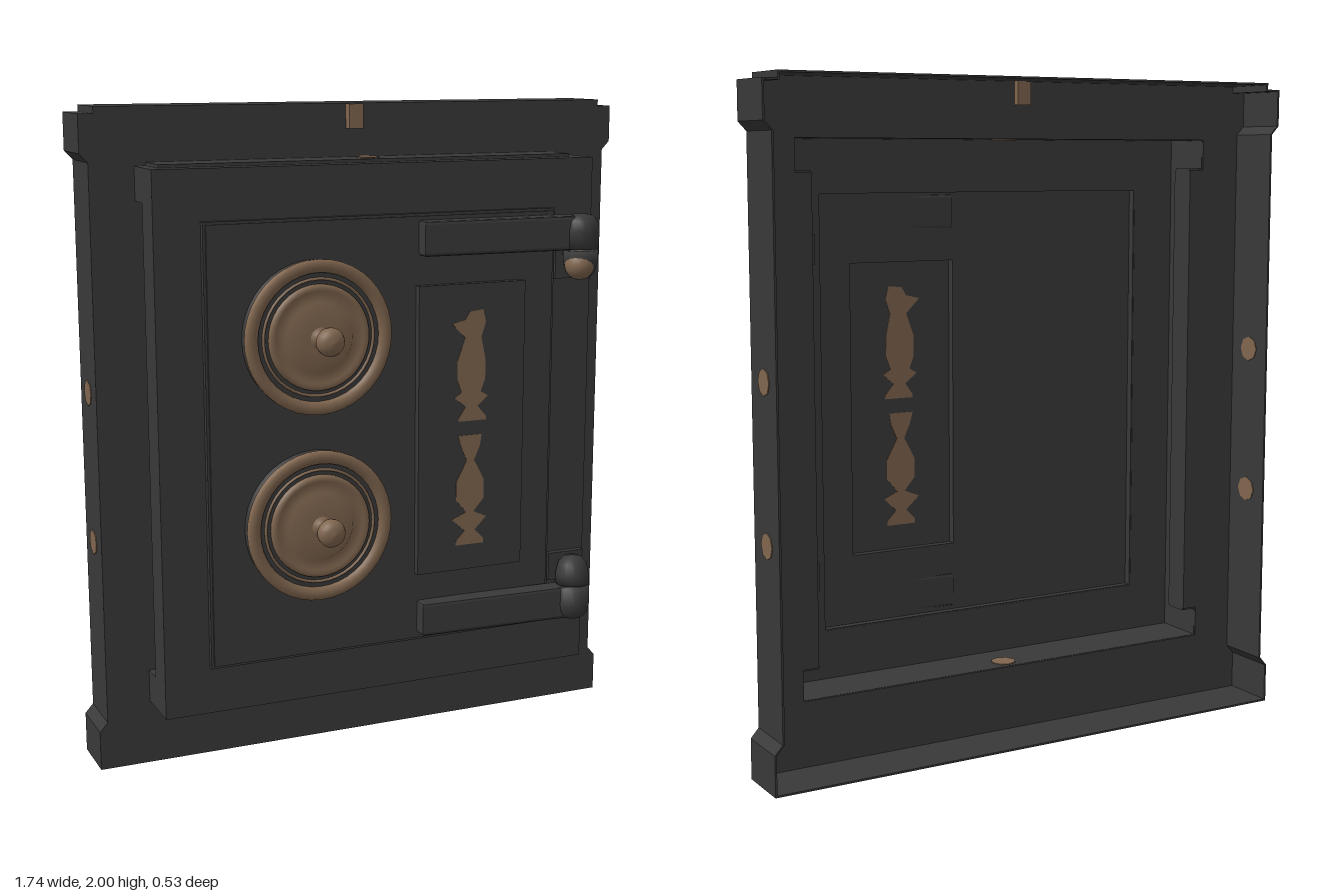
import * as THREE from 'three';

const dark = new THREE.MeshStandardMaterial({ color: 0x393939 });
dark.name = 'darkIron';
const bronze = new THREE.MeshStandardMaterial({ color: 0x80664f });
bronze.name = 'bronze';
const T = 0.006; // shell thickness

export function createModel() {
  const root = new THREE.Group();

  function add(parent, name, geo, mat, x = 0, y = 0, z = 0) {
    const m = new THREE.Mesh(geo, mat);
    m.name = name;
    m.position.set(x, y, z);
    parent.add(m);
    return m;
  }
  function group(name) {
    const g = new THREE.Group();
    g.name = name;
    root.add(g);
    return g;
  }
  // box given by its limits
  function slab(parent, name, mat, x0, x1, y0, y1, z0, z1) {
    return add(parent, name, new THREE.BoxGeometry(x1 - x0, y1 - y0, z1 - z0), mat,
      (x0 + x1) / 2, (y0 + y1) / 2, (z0 + z1) / 2);
  }
  const pts = a => a.map(p => new THREE.Vector2(p[0], p[1]));
  const rect = (x0, x1, y0, y1) => pts([[x0, y0], [x1, y0], [x1, y1], [x0, y1]]);
  // flat outline with an optional hole, extruded from z0 to z1
  function plate(outer, hole, z0, z1) {
    const s = new THREE.Shape(outer);
    if (hole) s.holes.push(new THREE.Path(hole));
    return new THREE.ExtrudeGeometry(s, { depth: z1 - z0, bevelEnabled: false }).translate(0, 0, z0);
  }
  const mirrored = a => pts([...a, ...a.slice().reverse().map(p => [-p[0], p[1]])]);
  const lathe = (profile, seg) => new THREE.LatheGeometry(pts(profile), seg);

  // ---- outer frame: hollow at the back, with corner blocks
  const frame = group('outerFrame');
  const outline = d => mirrored([[0.87 - d, d], [0.87 - d, 0.122], [0.845 - d, 0.15], [0.845 - d, 1.842],
    [0.87 - d, 1.868], [0.87 - d, 1.98 - d], [0.825 - d, 1.98 - d], [0.825 - d, 2 - d]]);
  const opening = mirrored([[0.705, 0.205], [0.705, 0.3], [0.655, 0.3], [0.655, 1.73], [0.705, 1.73], [0.705, 1.825]]);
  add(frame, 'frameRim', plate(outline(0), outline(T), -0.265, -0.09), dark);
  add(frame, 'frameFace', plate(outline(T / 2), opening, -0.09 - T, -0.09), dark);

  // ---- inner box: hollow, with a recess along each side
  const box = group('innerBox');
  add(box, 'boxFront', plate(rect(-0.71, 0.71, 0.2, 1.83), rect(-0.56, 0.56, 0.355, 1.67), 0.08 - T, 0.08), dark);
  slab(box, 'boxTop', dark, -0.71, 0.71, 1.83 - T, 1.83, -0.09, 0.08);
  slab(box, 'boxBottom', dark, -0.71, 0.71, 0.2, 0.2 + T, -0.09, 0.08);
  slab(box, 'topPanel', dark, -0.675, 0.655, 1.83, 1.84, -0.09, 0.03);
  for (const s of [-1, 1]) {
    const side = (name, a, b, y0, y1, z0, z1) =>
      slab(box, name, dark, Math.min(s * a, s * b), Math.max(s * a, s * b), y0, y1, z0, z1);
    side('sideFront', 0.71 - T, 0.71, 0.2, 1.83, -0.02, 0.08);
    side('sideLower', 0.71 - T, 0.71, 0.2, 0.3, -0.09, -0.02);
    side('sideUpper', 0.71 - T, 0.71, 1.73, 1.83, -0.09, -0.02);
    side('recessFloor', 0.655, 0.661, 0.3, 1.73, -0.09, -0.02);
    side('recessFront', 0.655, 0.71, 0.3, 1.73, -0.02, -0.02 + T);
    side('recessTop', 0.655, 0.71, 1.73, 1.73 + T, -0.09, -0.02);
    side('recessBottom', 0.655, 0.71, 0.3 - T, 0.3, -0.09, -0.02);
  }

  // ---- door: shallow shell stepped forward from the box
  const door = group('door');
  add(door, 'doorRim', plate(rect(-0.57, 0.57, 0.345, 1.68), rect(-0.556, 0.556, 0.359, 1.666), 0.075, 0.098), dark);
  add(door, 'doorFace', plate(rect(-0.562, 0.562, 0.353, 1.672), rect(0.1, 0.45, 0.57, 1.46), 0.098, 0.104), dark);

  // ---- plaque with two silhouettes that show on both sides
  const plaque = group('plaque');
  add(plaque, 'plaqueRim', plate(rect(0.095, 0.455, 0.565, 1.465), rect(0.101, 0.449, 0.571, 1.459), 0.098, 0.128), dark);
  slab(plaque, 'plaqueFace', dark, 0.097, 0.453, 0.567, 1.463, 0.122, 0.128);
  // rows of [left, right, y]
  const silhouettes = [
    [[0.205, 0.32, 1.345], [0.25, 0.305, 1.3], [0.225, 0.32, 1.23], [0.225, 0.32, 1.17], [0.24, 0.305, 1.13],
      [0.215, 0.33, 1.115], [0.255, 0.295, 1.085], [0.23, 0.325, 1.05], [0.23, 0.325, 1.04]],
    [[0.23, 0.31, 0.995], [0.24, 0.305, 0.96], [0.26, 0.285, 0.915], [0.225, 0.32, 0.85], [0.225, 0.32, 0.79],
      [0.26, 0.285, 0.75], [0.21, 0.33, 0.73], [0.255, 0.29, 0.69], [0.225, 0.32, 0.66], [0.225, 0.32, 0.645]],
  ];
  silhouettes.forEach((rows, i) => {
    const out = [...rows.map(r => [r[0], r[2]]), ...rows.slice().reverse().map(r => [r[1], r[2]])];
    // raised tips on the upper ornament
    if (i === 0) out.push([0.31, 1.385], [0.265, 1.38], [0.25, 1.355]);
    add(plaque, 'ornament', plate(pts(out), null, 0.1205, 0.1295), bronze);
  });

  // ---- two dials with pull knobs
  for (const y of [1.335, 0.765]) {
    const dial = group('dial');
    dial.position.set(-0.235, y, 0);
    dial.rotation.x = Math.PI / 2; // lathe axis faces forward
    add(dial, 'dialBase', lathe([[0.225, 0.1], [0.228, 0.138], [0.2, 0.142], [0, 0.142]], 40), dark);
    add(dial, 'dialRim', lathe([[0.23, 0.137], [0.23, 0.15], [0.222, 0.157], [0.205, 0.158],
      [0.192, 0.15], [0.19, 0.14]], 40), bronze);
    add(dial, 'dialRing', lathe([[0.178, 0.14], [0.176, 0.147], [0.17, 0.147], [0.168, 0.14]], 40), bronze);
    add(dial, 'dialFace', lathe([[0.158, 0.14], [0.157, 0.15], [0.145, 0.157], [0.137, 0.15], [0.105, 0.15],
      [0.1, 0.157], [0.05, 0.16], [0, 0.16]], 40), bronze);
    add(dial, 'dialKnob', lathe([[0.036, 0.158], [0.022, 0.166], [0.016, 0.18], [0.016, 0.196], [0.028, 0.208],
      [0.042, 0.222], [0.043, 0.236], [0.036, 0.252], [0.022, 0.262], [0, 0.265]], 20), bronze);
  }

  // ---- hinges: tapered strap, round barrel, bracket; the lower one is flipped
  for (const [y, flip] of [[1.555, 1], [0.475, -1]]) {
    const hinge = group(flip > 0 ? 'upperHinge' : 'lowerHinge');
    hinge.position.y = y;
    const strap = new THREE.Shape(pts([[0.11, 0.1], [0.62, 0.115], [0.62, 0.17], [0.57, 0.165], [0.11, 0.145]]));
    const strapGeo = new THREE.ExtrudeGeometry(strap,
      { depth: 0.085, bevelEnabled: true, bevelSize: 0.006, bevelThickness: 0.01, bevelSegments: 2 });
    strapGeo.rotateX(Math.PI / 2); // profile into the x-z plane
    add(hinge, 'strap', strapGeo, dark, 0, flip > 0 ? 0.095 : -0.01, 0);
    const cap = flip > 0
      ? [[0, 0.003], [0.056, 0.003], [0.058, 0.06], [0.052, 0.09], [0.035, 0.106], [0, 0.11]]
      : [[0, -0.11], [0.035, -0.106], [0.052, -0.09], [0.058, -0.06], [0.056, -0.003], [0, -0.003]];
    add(hinge, 'barrelCap', lathe(cap, 20), dark, 0.633, 0, 0.15);
    const foot = flip > 0
      ? [[0, -0.095], [0.028, -0.09], [0.046, -0.07], [0.054, -0.035], [0.055, -0.003], [0, -0.003]]
      : [[0, 0.003], [0.055, 0.003], [0.054, 0.035], [0.046, 0.07], [0.028, 0.09], [0, 0.095]];
    add(hinge, 'barrelFoot', lathe(foot, 20), dark, 0.638, 0, 0.143);
    if (flip > 0) add(hinge, 'hingeBall', new THREE.SphereGeometry(0.046, 20, 14), bronze, 0.628, -0.048, 0.155);
    const b = [0.005, 0.095].map(v => -flip * v).sort((p, q) => p - q);
    slab(hinge, 'bracket', dark, 0.575, 0.7, b[0], b[1], 0.07, 0.1);
    slab(hinge, 'neck', dark, 0.61, 0.675, -0.07, 0.07, 0.07, 0.14);
  }

  // ---- bronze pins through the shell
  const pins = group('pins');
  const pin = () => new THREE.CylinderGeometry(0.039, 0.039, 0.011, 8);
  for (const s of [-1, 1]) {
    for (const y of [1.16, 0.7]) {
      add(pins, 'sidePin', pin(), bronze, s * 0.842, y, -0.18).rotation.z = Math.PI / 2;
    }
  }
  add(pins, 'topPin', new THREE.CylinderGeometry(0.038, 0.038, 0.022, 8), bronze, 0, 1.832, -0.04);
  add(pins, 'bottomPin', pin(), bronze, 0, 0.203, -0.04);
  slab(pins, 'latchBlock', bronze, -0.05, -0.005, 1.925, 1.998, -0.115, -0.06);

  return root;
}
